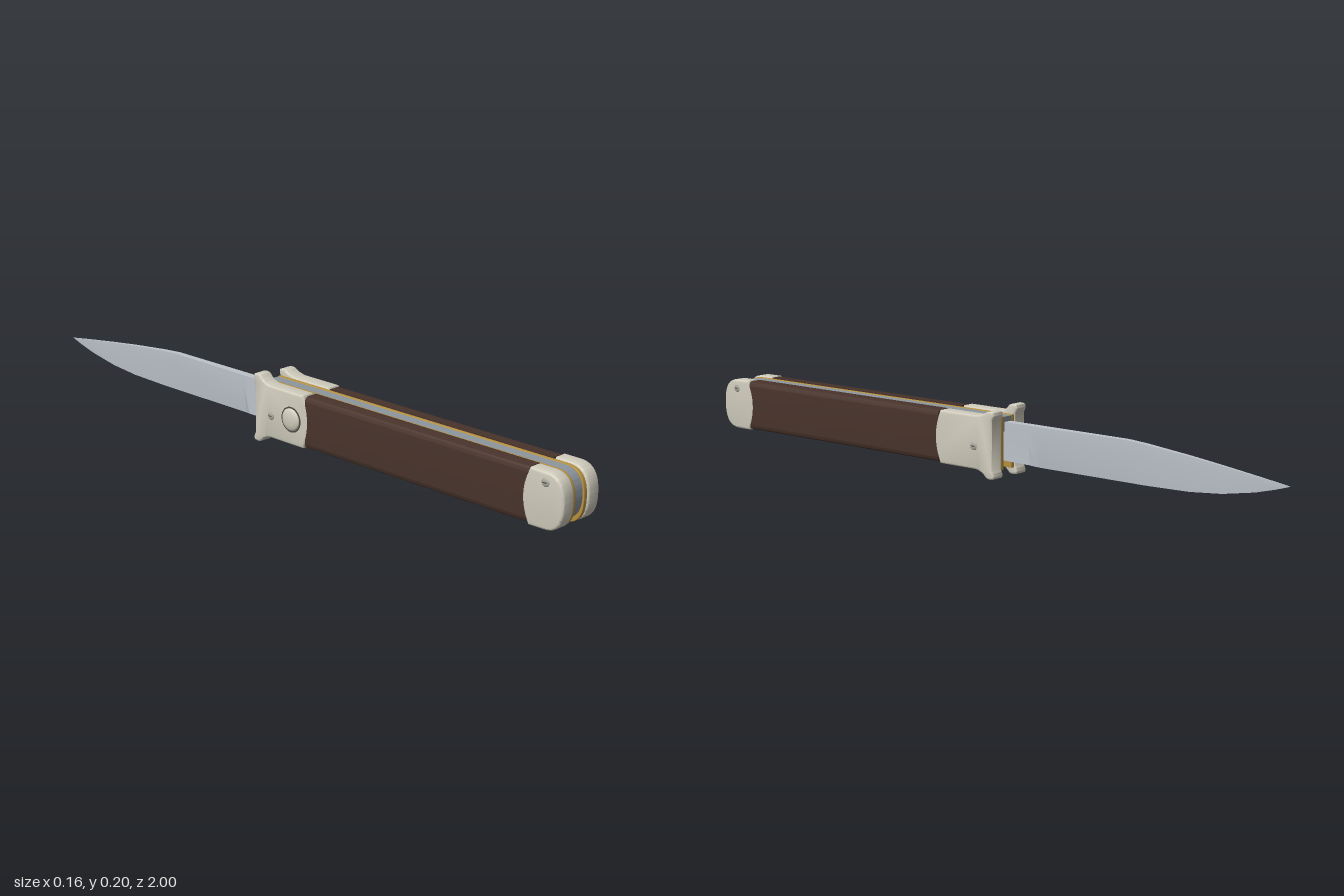
import * as THREE from 'three';
import { toCreasedNormals } from 'three/addons/utils/BufferGeometryUtils.js';

const mat = (name, color, opts = {}) => {
  const m = new THREE.MeshStandardMaterial({ color, ...opts });
  m.name = name;
  return m;
};

export function createModel() {
  const nickel = mat('nickel', 0xcfcbbc);
  const wood = mat('dark wood', 0x48332b);
  const brass = mat('brass', 0xb8923f);
  const spring = mat('spring steel', 0x8d959e);
  const steel = mat('blade steel', 0xbdc3ca);
  const pinMetal = mat('pin metal', 0xa9a79c);
  const dark = mat('button seat', 0x4c4a45);

  const root = new THREE.Group();
  root.name = 'foldingKnife';
  const CX = 0.003; // centre plane of the layered handle

  const add = (name, geo, material, parent = root) => {
    const mesh = new THREE.Mesh(geo, material);
    mesh.name = name;
    parent.add(mesh);
    return mesh;
  };

  // Plate drawn in the (z, y) plane and given thickness between x0 and x1
  const plate = (name, shape, x0, x1, bevel, material) => {
    const geo = new THREE.ExtrudeGeometry(shape, {
      depth: x1 - x0 - 2 * bevel, bevelEnabled: bevel > 0, bevelSize: bevel,
      bevelThickness: bevel, bevelOffset: -bevel, bevelSegments: 3, curveSegments: 14,
    });
    geo.translate(0, 0, bevel);
    geo.rotateY(-Math.PI / 2);
    geo.translate(x1, 0, 0);
    return add(name, toCreasedNormals(geo, 0.6), material);
  };

  // Rounded butt from the lower edge to the upper edge
  const butt = (s, lo, hi, end) => {
    const mid = (lo + hi) / 2;
    s.lineTo(end - 0.06, lo);
    s.bezierCurveTo(end - 0.015, lo, end, lo + 0.03, end, mid);
    s.bezierCurveTo(end, hi - 0.03, end - 0.015, hi, end - 0.06, hi);
  };

  const linerShape = () => {
    const s = new THREE.Shape();
    s.moveTo(-0.088, 0.022);
    butt(s, 0.022, 0.173, 0.995);
    s.lineTo(-0.088, 0.173);
    s.closePath();
    return s;
  };

  const rearBolsterShape = () => {
    const s = new THREE.Shape();
    s.moveTo(0.892, 0.024);
    butt(s, 0.024, 0.177, 1);
    s.lineTo(0.892, 0.177);
    s.quadraticCurveTo(0.85, 0.1, 0.892, 0.024);
    return s;
  };

  // Front bolster with flared guard tips
  const frontBolsterShape = (top) => {
    const s = new THREE.Shape();
    s.moveTo(0.1, 0.024);
    s.quadraticCurveTo(0.137, 0.1, 0.1, 0.177);
    s.lineTo(-0.03, 0.177);
    s.quadraticCurveTo(-0.055, 0.18, -0.068, top - 0.004);
    s.quadraticCurveTo(-0.08, top + 0.002, -0.094, top - 0.003);
    s.quadraticCurveTo(-0.1, top - 0.012, -0.09, top - 0.026);
    s.lineTo(-0.09, 0.026);
    s.quadraticCurveTo(-0.1, 0.012, -0.094, 0.003);
    s.quadraticCurveTo(-0.08, -0.002, -0.068, 0.004);
    s.quadraticCurveTo(-0.055, 0.021, -0.03, 0.024);
    s.closePath();
    return s;
  };

  // Scale cross-section in (x, y), rounded on the outer edges
  const scaleGeometry = (inner, outer) => {
    const r = 0.016 * Math.sign(outer - inner), lo = 0.026, hi = 0.176;
    const s = new THREE.Shape();
    s.moveTo(inner, lo);
    s.lineTo(outer - r, lo);
    s.quadraticCurveTo(outer, lo, outer, lo + 0.016);
    s.lineTo(outer, hi - 0.016);
    s.quadraticCurveTo(outer, hi, outer - r, hi);
    s.lineTo(inner, hi);
    s.closePath();
    const geo = new THREE.ExtrudeGeometry(s, { depth: 0.78, bevelEnabled: false, curveSegments: 8 });
    geo.translate(0, 0, 0.108);
    return toCreasedNormals(geo, 0.6);
  };

  // Low dome facing outward along x
  const dome = (name, side, x, y, z, radius, height, material) => {
    const pts = [];
    for (let i = 0; i <= 8; i++) {
      const a = (i / 8) * Math.PI / 2;
      pts.push(new THREE.Vector2(radius * Math.cos(a), height * Math.sin(a)));
    }
    const m = add(name, new THREE.LatheGeometry(pts, 28), material);
    m.rotation.z = -side * Math.PI / 2;
    m.position.set(x, y, z);
    return m;
  };

  // Both sides: liner, wooden scale, bolsters and pins
  for (const side of [1, -1]) {
    const label = side > 0 ? 'left' : 'right';
    const at = (a, b) => [CX + side * a, CX + side * b].sort((p, q) => p - q);
    plate(label + 'Liner', linerShape(), ...at(0.017, 0.029), 0.001, brass);
    add(label + 'Scale', scaleGeometry(CX + side * 0.028, CX + side * 0.0715), wood);
    plate(label + 'RearBolster', rearBolsterShape(), ...at(0.0285, 0.0725), 0.006, nickel);
    plate(label + 'FrontBolster', frontBolsterShape(side > 0 ? 0.193 : 0.202), ...at(0.0285, 0.0725), 0.005, nickel);
    const face = CX + side * 0.0722;
    for (const [y, z] of [[0.15, 0.942], [0.09, -0.025]]) {
      dome(label + 'Pin', side, face, y, z, 0.012, 0.004, pinMetal);
      const slot = add(label + 'PinSlot', new THREE.BoxGeometry(0.001, 0.003, 0.011), dark);
      slot.position.set(face + side * 0.0037, y, z);
    }
  }

  // Release button on one side, set in a dark ring
  const seat = add('buttonSeat', new THREE.CylinderGeometry(0.037, 0.037, 0.002, 32), dark);
  seat.rotation.z = Math.PI / 2;
  seat.position.set(CX - 0.0727, 0.098, 0.055);
  dome('releaseButton', -1, CX - 0.0732, 0.098, 0.055, 0.033, 0.0105, nickel);

  // Back spring: top strip that wraps down around the butt, open underneath
  const s = new THREE.Shape();
  s.moveTo(0.92, 0.034);
  butt(s, 0.034, 0.172, 0.99);
  s.lineTo(-0.088, 0.172);
  s.lineTo(-0.088, 0.13);
  s.lineTo(0.89, 0.13);
  s.lineTo(0.89, 0.034);
  s.closePath();
  plate('backSpring', s, CX - 0.0175, CX + 0.0175, 0, spring);

  // Blade lofted from sections: z, spine y, grind line y, edge y, half thickness, edge half thickness
  const sections = [
    [0.08, 0.157, 0.1, 0.05, 0.013, 0.013],
    [-0.175, 0.157, 0.1, 0.046, 0.013, 0.013],
    [-0.2, 0.157, 0.125, 0.041, 0.0125, 0.001],
    [-0.5, 0.157, 0.125, 0.041, 0.0095, 0.001],
    [-0.56, 0.153, 0.123, 0.041, 0.0085, 0.001],
    [-0.7, 0.139, 0.115, 0.044, 0.0065, 0.001],
    [-0.8, 0.127, 0.108, 0.053, 0.005, 0.001],
    [-0.9, 0.114, 0.103, 0.071, 0.0035, 0.0008],
    [-0.96, 0.106, 0.1, 0.087, 0.002, 0.0006],
    [-1, 0.1005, 0.1, 0.0995, 0.0003, 0.0003],
  ];
  const pos = [], idx = [], n = 6;
  for (const [z, top, mid, low, t, e] of sections) {
    for (const [x, y] of [[t, top], [-t, top], [-t, mid], [-e, low], [e, low], [t, mid]]) pos.push(CX + x, y, z);
  }
  for (let i = 0; i < sections.length - 1; i++) {
    for (let j = 0; j < n; j++) {
      const a = i * n + j, b = i * n + (j + 1) % n;
      idx.push(a, a + n, b, b, a + n, b + n);
    }
  }
  const last = (sections.length - 1) * n;
  for (let j = 1; j < n - 1; j++) {
    idx.push(0, j, j + 1);
    idx.push(last, last + j + 1, last + j);
  }
  const blade = new THREE.BufferGeometry();
  blade.setAttribute('position', new THREE.Float32BufferAttribute(pos, 3));
  blade.setIndex(idx);
  add('blade', toCreasedNormals(blade, 0.35), steel);

  return root;
}
